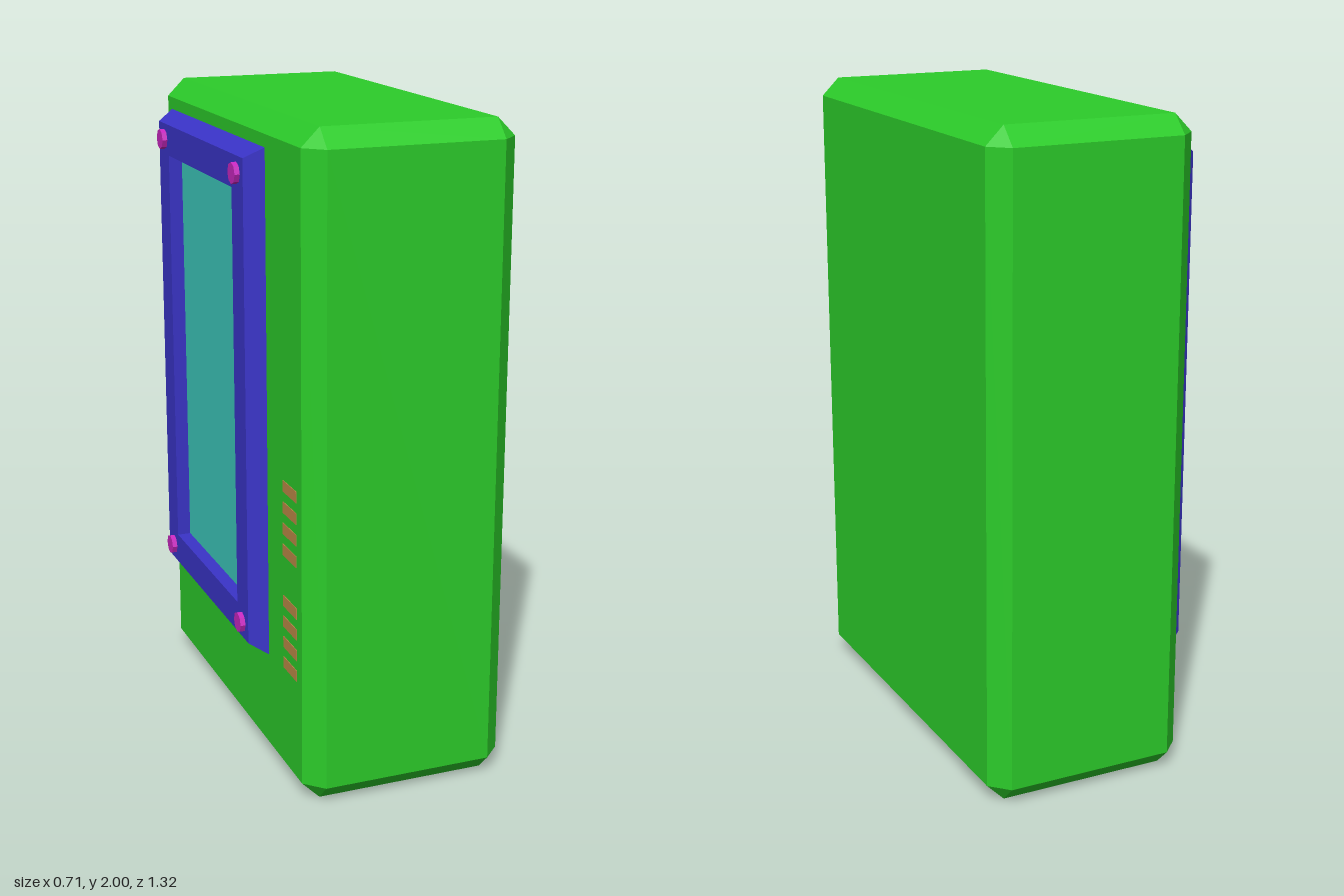
import * as THREE from 'three';
import { ConvexGeometry } from 'three/addons/geometries/ConvexGeometry.js';

const mat = (color) => new THREE.MeshStandardMaterial({ color, flatShading: true });
const green = mat(0x2ccc2a), blue = mat(0x3a34c8), teal = mat(0x3cc8bc);
const magenta = mat(0xc828c0), brown = mat(0xbe8a48);

const FACE = -0.285;           // x of the panel side of the case
const CY = 1.13, CZ = -0.12;   // centre of the screen on that side

// Box with every edge and corner cut by c
function chamferedBox(w, h, d, c) {
  const pts = [];
  for (const sx of [-1, 1]) for (const sy of [-1, 1]) for (const sz of [-1, 1]) {
    const x = w / 2, y = h / 2, z = d / 2;
    for (const [px, py, pz] of [[x, y - c, z - c], [x - c, y, z - c], [x - c, y - c, z]]) {
      pts.push(new THREE.Vector3(sx * px, sy * py, sz * pz));
    }
  }
  return new ConvexGeometry(pts);
}

// Rectangular ring skinned through loops of [x, half depth, half height]
function ring(loops) {
  const pos = [], index = [];
  const corners = [[-1, -1], [1, -1], [1, 1], [-1, 1]];
  for (const [x, hz, hy] of loops) for (const [u, v] of corners) pos.push(x, v * hy, u * hz);
  for (let l = 0; l < loops.length - 1; l++) {
    for (let i = 0; i < 4; i++) {
      const j = (i + 1) % 4, a = l * 4, b = a + 4;
      index.push(a + i, a + j, b + j, a + i, b + j, b + i);
    }
  }
  const g = new THREE.BufferGeometry();
  g.setAttribute('position', new THREE.Float32BufferAttribute(pos, 3));
  g.setIndex(index);
  const flat = g.toNonIndexed();
  flat.computeVertexNormals();
  return flat;
}

export function createModel() {
  const group = new THREE.Group();
  const add = (name, geometry, material, x, y, z) => {
    const mesh = new THREE.Mesh(geometry, material);
    mesh.name = name;
    mesh.position.set(x, y, z);
    group.add(mesh);
    return mesh;
  };

  // Chamfered case
  add('case', chamferedBox(0.64, 2, 1.32, 0.055), green, 0.035, 1, 0);

  // Sloped frame around the screen
  add('screenFrame', ring([
    [FACE, 0.443, 0.777], [-0.34, 0.41, 0.745], [-0.34, 0.31, 0.647], [FACE, 0.31, 0.647],
  ]), blue, 0, CY, CZ);

  // Recessed screen
  add('screen', new THREE.BoxGeometry(0.02, 1.294, 0.62), teal, FACE - 0.002, CY, CZ);

  // Screws in the frame corners
  const screwGeo = new THREE.CylinderGeometry(0.032, 0.032, 0.027, 8);
  screwGeo.rotateZ(Math.PI / 2);
  for (const sy of [-1, 1]) for (const sz of [-1, 1]) {
    add('screw', screwGeo, magenta, -0.3425, CY + sy * 0.695, CZ + sz * 0.354);
  }

  // Two banks of vent slots beside the screen
  const ventGeo = new THREE.BoxGeometry(0.01, 0.035, 0.11);
  for (const top of [0.945, 0.585]) for (let i = 0; i < 4; i++) {
    add('ventSlot', ventGeo, brown, FACE + 0.003, top - i * 0.066, 0.51);
  }
  return group;
}
